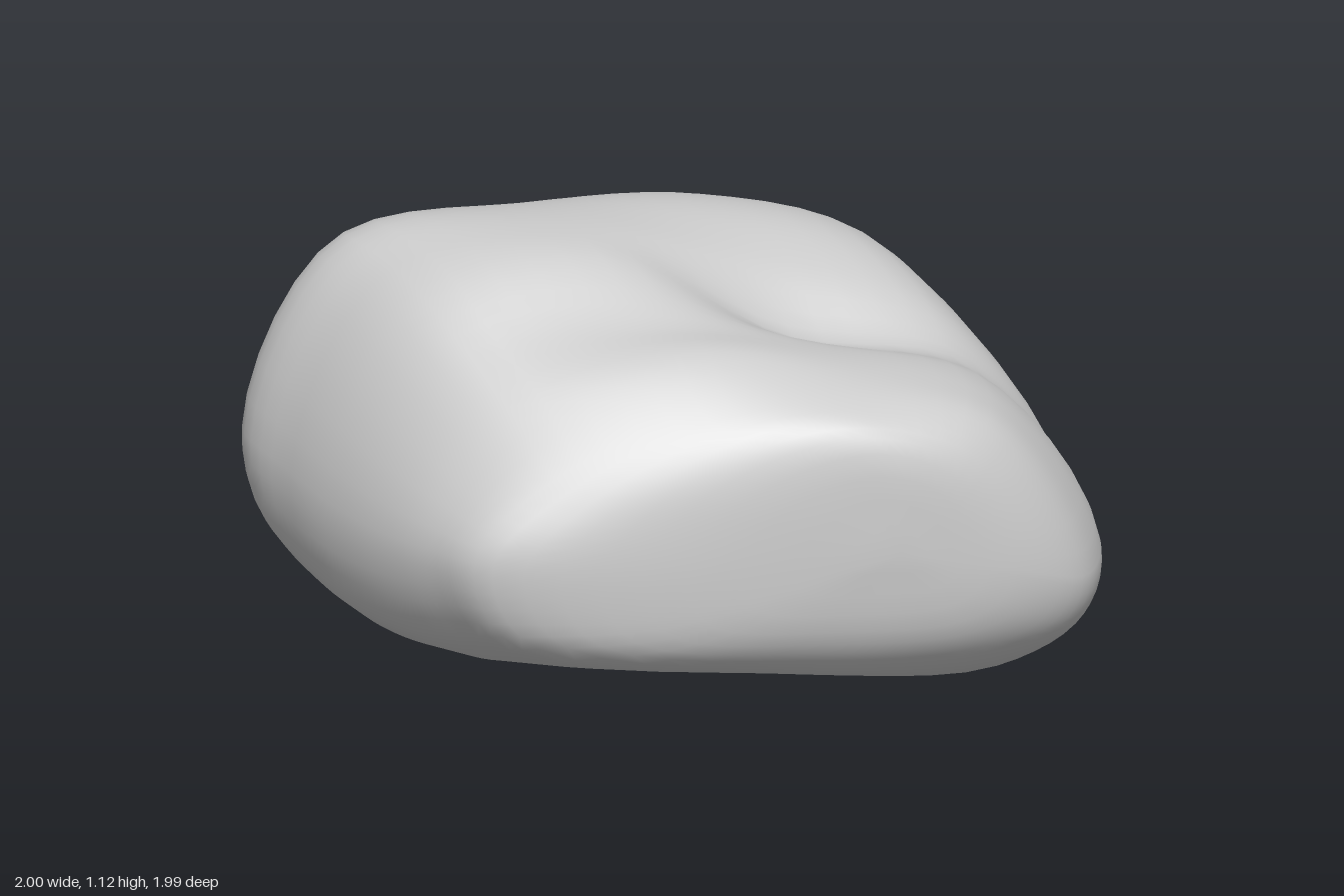
import * as THREE from 'three';

// Cross-sections from front to back: z, left x, left y, right x, right y,
// four top heights (left to right), three bottom heights (left to right)
const SECTIONS = [
  [0.96, -0.2, 0.46, 0.72, 0.4, 0.62, 0.74, 0.76, 0.66, 0.32, 0.26, 0.26],
  [0.87, -0.61, 0.5, 0.89, 0.34, 0.67, 0.83, 0.84, 0.74, 0.29, 0.16, 0.15],
  [0.72, -0.72, 0.5, 0.97, 0.34, 0.79, 0.94, 0.88, 0.75, 0.25, 0.11, 0.07],
  [0.55, -0.81, 0.5, 1.0, 0.35, 0.9, 0.97, 0.88, 0.75, 0.21, 0.08, 0.02],
  [0.36, -0.89, 0.52, 0.99, 0.38, 1.0, 1.08, 0.84, 0.74, 0.2, 0.07, 0.01],
  [0.2, -0.945, 0.55, 0.97, 0.42, 1.04, 1.11, 0.98, 0.83, 0.22, 0.06, 0.04],
  [0, -1.0, 0.58, 0.91, 0.46, 1.05, 1.1, 1.05, 0.9, 0.28, 0.06, 0.07],
  [-0.2, -0.91, 0.58, 0.86, 0.45, 0.97, 1.03, 1.02, 0.88, 0.3, 0.04, 0.06],
  [-0.45, -0.73, 0.54, 0.7, 0.4, 0.81, 0.88, 0.88, 0.78, 0.27, 0.03, 0.05],
  [-0.7, -0.48, 0.46, 0.53, 0.38, 0.64, 0.72, 0.72, 0.64, 0.23, 0.05, 0.09],
  [-0.88, -0.26, 0.41, 0.37, 0.37, 0.5, 0.56, 0.56, 0.5, 0.25, 0.17, 0.2],
  [-0.98, -0.12, 0.38, 0.15, 0.36, 0.42, 0.45, 0.45, 0.42, 0.32, 0.3, 0.31],
];
const AROUND = 56;
const ALONG = 60;

// Smooth closed outline of one cross-section
function sectionRing([z, xl, yl, xr, yr, t1, t2, t3, t4, bl, bm, br]) {
  const at = (f, y) => new THREE.Vector3(THREE.MathUtils.lerp(xl, xr, f), y, z);
  const outline = new THREE.CatmullRomCurve3([
    at(0, yl), at(0.12, t1), at(0.38, t2), at(0.62, t3), at(0.85, t4),
    at(1, yr), at(0.97, THREE.MathUtils.lerp(yr, br, 0.6)),
    at(0.84, br), at(0.5, bm), at(0.06, bl),
  ], true);
  return Array.from({ length: AROUND }, (_, j) => outline.getPoint(j / AROUND));
}

function boulderGeometry() {
  const rings = SECTIONS.map(sectionRing);
  const frontTip = new THREE.Vector3(0.4, 0.48, 0.99);
  const backTip = new THREE.Vector3(0.01, 0.37, -1);

  // Run a smooth curve lengthwise through matching points of all sections
  const strands = Array.from({ length: AROUND }, (_, j) =>
    new THREE.CatmullRomCurve3([frontTip, ...rings.map((r) => r[j]), backTip]));

  const positions = [...frontTip.toArray()];
  for (let i = 1; i < ALONG; i++) {
    for (const strand of strands) positions.push(...strand.getPoint(i / ALONG).toArray());
  }
  positions.push(...backTip.toArray());

  // Skin the rings and close both tips with fans
  const index = [];
  const id = (i, j) => 1 + (i - 1) * AROUND + (j % AROUND);
  const last = positions.length / 3 - 1;
  for (let j = 0; j < AROUND; j++) {
    index.push(0, id(1, j + 1), id(1, j));
    for (let i = 1; i < ALONG - 1; i++) {
      const a = id(i, j), b = id(i, j + 1), c = id(i + 1, j), d = id(i + 1, j + 1);
      index.push(a, b, c, b, d, c);
    }
    index.push(id(ALONG - 1, j), id(ALONG - 1, j + 1), last);
  }

  const geometry = new THREE.BufferGeometry();
  geometry.setAttribute('position', new THREE.Float32BufferAttribute(positions, 3));
  geometry.setIndex(index);
  geometry.computeBoundingBox();
  geometry.translate(0, -geometry.boundingBox.min.y, 0);
  geometry.computeVertexNormals();
  return geometry;
}

export function createModel() {
  const group = new THREE.Group();
  group.name = 'rock';
  const boulder = new THREE.Mesh(
    boulderGeometry(),
    new THREE.MeshStandardMaterial({ color: 0xcccccc }),
  );
  boulder.name = 'boulder';
  group.add(boulder);
  return group;
}
